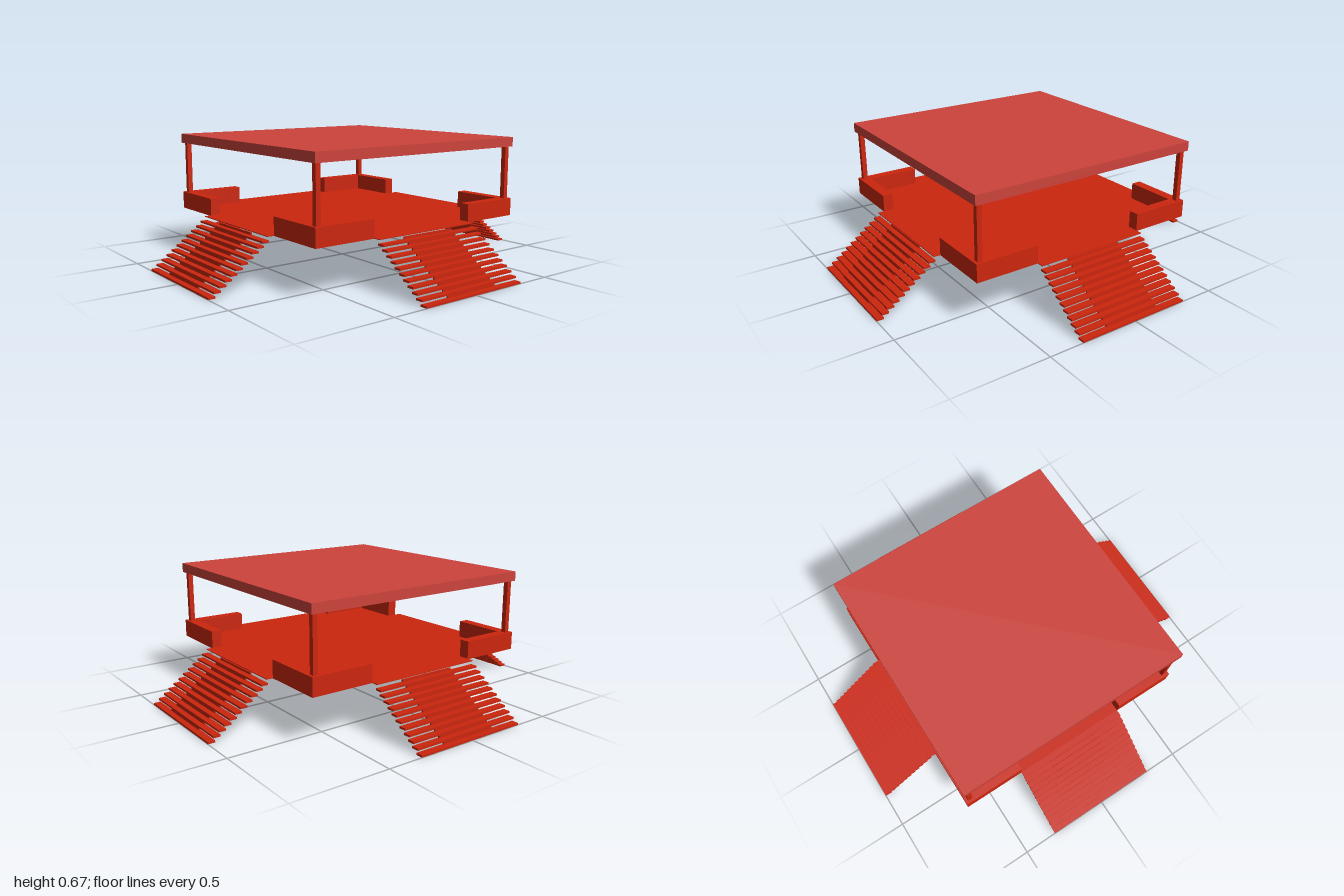
import * as THREE from 'three';

const red = new THREE.MeshStandardMaterial({ color: 0xcc260e });
const roofRed = new THREE.MeshStandardMaterial({ color: 0xcd433c });

// Box given by its min and max corners
function box(name, parent, [x0, y0, z0], [x1, y1, z1], material = red) {
  const mesh = new THREE.Mesh(new THREE.BoxGeometry(x1 - x0, y1 - y0, z1 - z0), material);
  mesh.position.set((x0 + x1) / 2, (y0 + y1) / 2, (z0 + z1) / 2);
  mesh.name = name;
  parent.add(mesh);
}

const HALF = 0.65, FLOOR = 0.25, UNDER = 0.246, WALL_TOP = 0.34, ROOF = 0.62;
const STAIR = 0.315, RISER = 0.157, WALL = 0.055;

// Flight descending towards +z: wide thin treads joined by narrow risers
function stairs() {
  const flight = new THREE.Group();
  flight.name = 'stairs';
  const steps = 11, run = 0.0286, rise = 0.24 / steps, depth = 0.037, thick = 0.01;
  box('landing', flight, [-STAIR, UNDER, HALF], [STAIR, FLOOR, 0.686]);
  for (let i = 0; i < steps; i++) {
    const z = 1 - i * run, y = i * rise;
    box('tread', flight, [-STAIR, y, z - depth], [STAIR, y + thick, z]);
    box('riser', flight, [-RISER, y + thick, z - depth], [RISER, y + rise, z - depth + 0.008]);
  }
  return flight;
}

// L-shaped parapet with a roof post on its corner
function corner() {
  const g = new THREE.Group();
  g.name = 'corner';
  const inner = HALF - WALL, c = HALF - WALL / 2, r = 0.013;
  box('parapet', g, [STAIR, UNDER, inner], [HALF, WALL_TOP, HALF]);
  box('parapet', g, [inner, UNDER, STAIR], [HALF, WALL_TOP, inner]);
  box('post', g, [c - r, WALL_TOP, c - r], [c + r, ROOF, c + r]);
  return g;
}

export function createModel() {
  const model = new THREE.Group();
  model.name = 'pavilion';

  box('floor', model, [-HALF, UNDER, -HALF], [HALF, FLOOR, HALF]);
  box('roof', model, [-HALF, ROOF, -HALF], [HALF, 0.67, HALF], roofRed);

  // Same stairs and corner on all four sides
  for (let i = 0; i < 4; i++) {
    for (const part of [stairs(), corner()]) {
      part.rotation.y = i * Math.PI / 2;
      model.add(part);
    }
  }
  return model;
}
